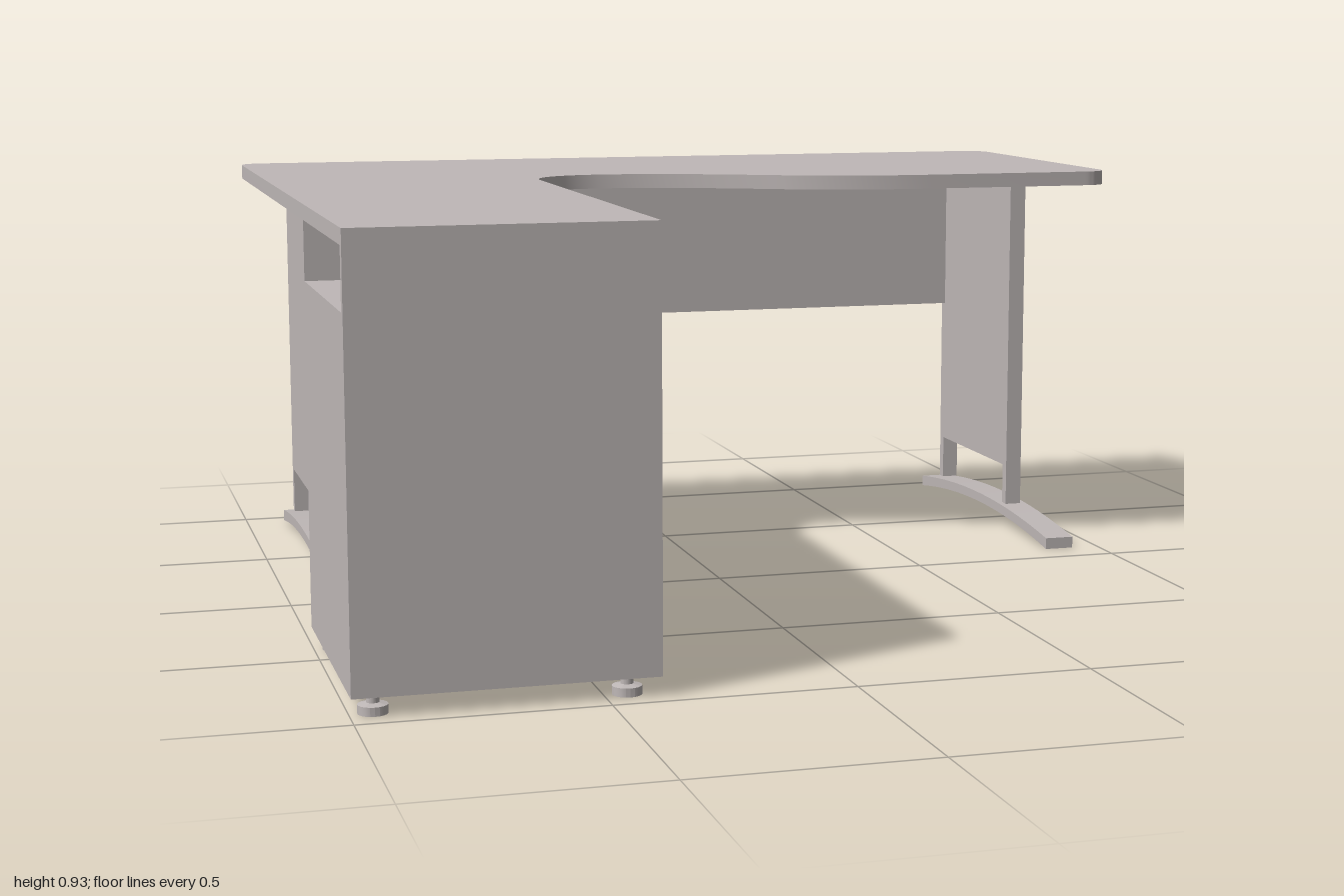
import * as THREE from 'three';
import { toCreasedNormals } from 'three/addons/utils/BufferGeometryUtils.js';

export function createModel() {
  const model = new THREE.Group();
  model.name = 'cornerDesk';
  const laminate = new THREE.MeshStandardMaterial({ color: 0xbfb8b7 });
  laminate.name = 'warmGreyLaminate';

  const add = (name, geometry, parent = model) => {
    const mesh = new THREE.Mesh(geometry, laminate);
    mesh.name = name;
    parent.add(mesh);
    return mesh;
  };
  // Box given by its limits on each axis
  const box = (name, [x0, x1], [y0, y1], [z0, z1], parent) => {
    const mesh = add(name, new THREE.BoxGeometry(x1 - x0, y1 - y0, z1 - z0), parent);
    mesh.position.set((x0 + x1) / 2, (y0 + y1) / 2, (z0 + z1) / 2);
    return mesh;
  };
  const group = (name) => {
    const g = new THREE.Group();
    g.name = name;
    model.add(g);
    return g;
  };

  // Worktop: L-shaped slab with a wave-shaped inner edge (shape y becomes z)
  const r = 0.065;
  const outline = new THREE.Shape();
  outline.moveTo(-1, 0.965);
  outline.lineTo(-1, -0.91 + r);
  outline.quadraticCurveTo(-1, -0.91, -1 + r, -0.91);
  outline.lineTo(1 - r, -0.91);
  outline.quadraticCurveTo(1, -0.91, 1, -0.91 + r);
  outline.lineTo(1, -0.06 - r);
  outline.quadraticCurveTo(1, -0.06, 1 - r, -0.06);
  outline.lineTo(0.54, -0.06);
  outline.bezierCurveTo(0.42, -0.06, 0.31, -0.08, 0.2, -0.135);
  outline.bezierCurveTo(0.08, -0.2, -0.07, -0.28, -0.22, -0.28);
  outline.bezierCurveTo(-0.32, -0.28, -0.39, -0.23, -0.39, -0.14);
  outline.lineTo(-0.39, 0.965);
  outline.closePath();
  const slab = new THREE.ExtrudeGeometry(outline, { depth: 0.033, bevelEnabled: false, curveSegments: 16 });
  slab.rotateX(Math.PI / 2);
  add('worktop', toCreasedNormals(slab, 0.6)).position.y = 0.933;

  // Pedestal with an open niche above the drawers
  const pedestal = group('pedestal');
  box('frontSidePanel', [-1, -0.39], [0.04, 0.9], [0.945, 0.965], pedestal);
  box('backSidePanel', [-1, -0.39], [0.04, 0.9], [0.373, 0.393], pedestal);
  box('carcass', [-1, -0.41], [0.04, 0.774], [0.393, 0.945], pedestal);
  for (const [y0, y1] of [[0.04, 0.058], [0.405, 0.418], [0.613, 0.626], [0.762, 0.774]]) {
    box('rail', [-0.41, -0.391], [y0, y1], [0.393, 0.945], pedestal);
  }

  // Handle: a bent rod with rounded corners
  const p = (x, z) => new THREE.Vector3(x, 0, z);
  const rod = new THREE.CurvePath();
  rod.add(new THREE.LineCurve3(p(-0.4, 0.473), p(-0.385, 0.473)));
  rod.add(new THREE.QuadraticBezierCurve3(p(-0.385, 0.473), p(-0.373, 0.473), p(-0.373, 0.485)));
  rod.add(new THREE.LineCurve3(p(-0.373, 0.485), p(-0.373, 0.853)));
  rod.add(new THREE.QuadraticBezierCurve3(p(-0.373, 0.853), p(-0.373, 0.865), p(-0.385, 0.865)));
  rod.add(new THREE.LineCurve3(p(-0.385, 0.865), p(-0.4, 0.865)));
  const handle = new THREE.TubeGeometry(rod, 100, 0.006, 8);

  // Drawers: bottom, top and handle heights
  for (const [y0, y1, grip] of [[0.063, 0.4, 0.373], [0.423, 0.608, 0.586], [0.631, 0.757, 0.722]]) {
    box('drawerFront', [-0.41, -0.393], [y0, y1], [0.398, 0.94], pedestal);
    add('drawerHandle', handle, pedestal).position.y = grip;
  }

  // Levelling feet
  const footProfile = [[0, 0], [0.03, 0], [0.03, 0.018], [0.013, 0.022], [0.013, 0.042]]
    .map(([x, y]) => new THREE.Vector2(x, y));
  const footGeometry = toCreasedNormals(new THREE.LatheGeometry(footProfile, 20), 0.6);
  for (const x of [-0.953, -0.453]) {
    for (const z of [0.925, 0.415]) add('levellingFoot', footGeometry, pedestal).position.set(x, 0, z);
  }

  // Arched floor bar (shape x becomes z)
  const arch = new THREE.Shape();
  arch.moveTo(-0.965, 0);
  arch.quadraticCurveTo(-0.5275, 0.07, -0.09, 0);
  arch.lineTo(-0.09, 0.027);
  arch.quadraticCurveTo(-0.5275, 0.089, -0.965, 0.027);
  arch.closePath();
  const bar = new THREE.ExtrudeGeometry(arch, { depth: 0.07, bevelEnabled: false, curveSegments: 20 });
  bar.rotateY(-Math.PI / 2);
  bar.translate(0.035, 0, 0);
  const barGeometry = toCreasedNormals(bar, 0.6);

  // Two leg frames: floor bar, two posts and the panel between them
  for (const [name, x] of [['leftLegFrame', 0.9], ['rightLegFrame', -0.87]]) {
    const frame = group(name);
    add('floorBar', barGeometry, frame).position.x = x;
    const across = [x - 0.02, x + 0.02];
    box('frontPost', across, [0.046, 0.9], [-0.417, -0.393], frame);
    box('backPost', across, [0.046, 0.9], [-0.87, -0.846], frame);
    box('legPanel', across, [0.155, 0.9], [-0.846, -0.417], frame);
  }

  // Modesty panel between the back posts
  box('modestyPanel', [-0.85, 0.88], [0.525, 0.9], [-0.866, -0.848]);

  return model;
}
